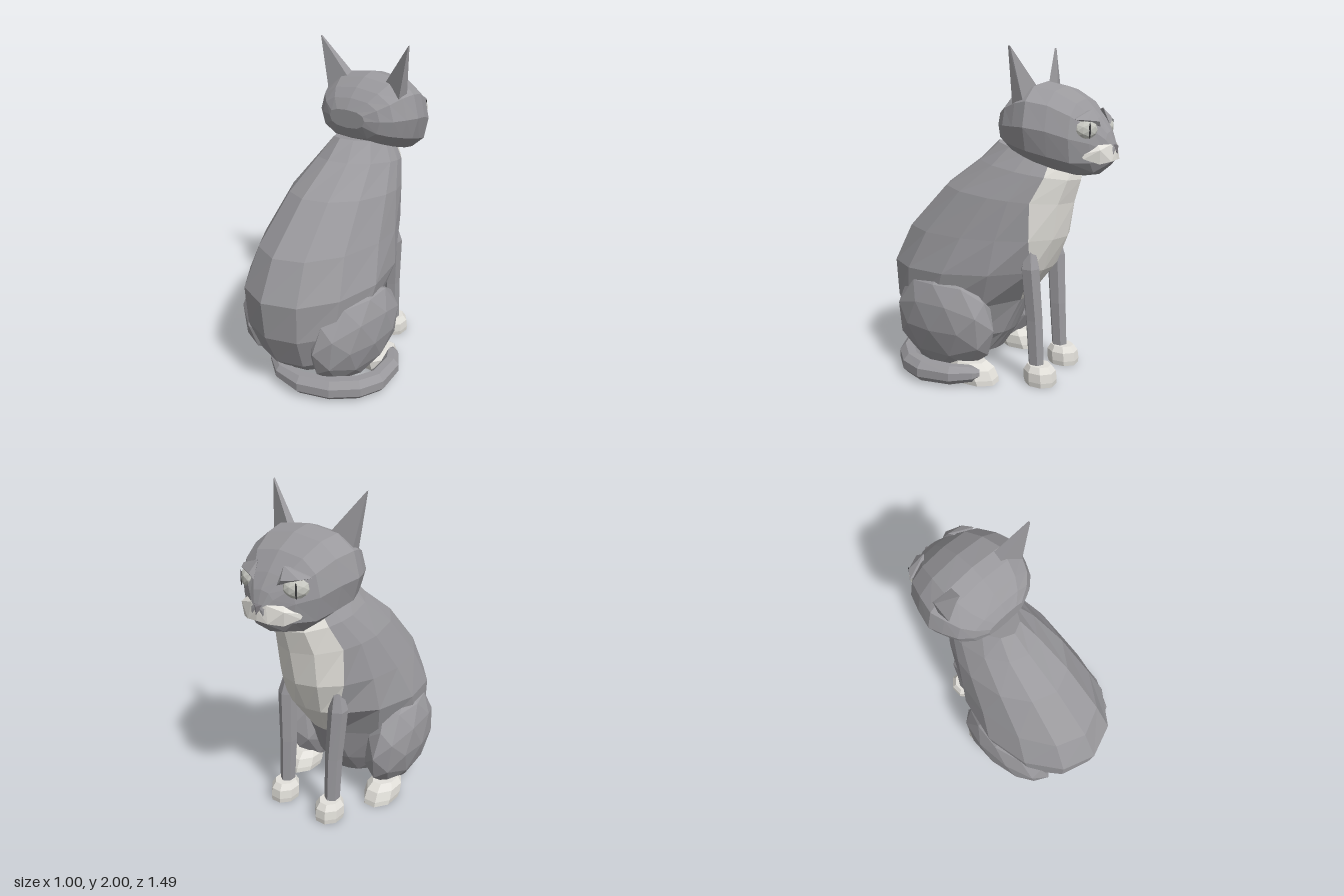
import * as THREE from 'three';
import { ConvexGeometry } from 'three/addons/geometries/ConvexGeometry.js';

const mat = (name, color) => Object.assign(new THREE.MeshStandardMaterial({ color, flatShading: true }), { name });
const fur = mat('grey fur', 0x9a999d);
const pale = mat('pale fur', 0xe3e1db);
const iris = mat('eye', 0xc6c7c0);
const dark = mat('pupil', 0x3a3a3c);
const noseMat = mat('nose', 0x7d7a7f);
const V = (x, y, z) => new THREE.Vector3(x, y, z);

// Skin a row of rings, cap both ends, and sort the faces into groups by material index
function loft(rings, pick = () => 0) {
  const faces = [[], []];
  const n = rings[0].length;
  for (let i = 0; i < rings.length - 1; i++) {
    for (let j = 0; j < n; j++) {
      const k = (j + 1) % n, a = rings[i], b = rings[i + 1];
      faces[pick(i, j)].push([a[j], a[k], b[k]], [a[j], b[k], b[j]]);
    }
  }
  const first = rings[0], last = rings[rings.length - 1];
  for (let j = 1; j < n - 1; j++) {
    faces[0].push([first[0], first[j + 1], first[j]], [last[0], last[j], last[j + 1]]);
  }
  // turn every face outward if the enclosed volume is negative
  let volume = 0;
  faces.flat().forEach(([a, b, c]) => { volume += a.dot(b.clone().cross(c)); });
  if (volume < 0) faces.flat().forEach((f) => f.reverse());
  const g = new THREE.BufferGeometry().setFromPoints(faces.flat(2));
  g.addGroup(0, faces[0].length * 3, 0);
  g.addGroup(faces[0].length * 3, faces[1].length * 3, 1);
  g.computeVertexNormals();
  return g;
}

const ring = (n, f) => Array.from({ length: n }, (_, j) => f((j / n) * Math.PI * 2));

export function createModel() {
  const model = new THREE.Group();
  model.name = 'sittingCat';
  const cat = new THREE.Group();
  cat.name = 'cat';
  cat.position.x = -0.045;
  model.add(cat);

  const add = (name, geometry, material, parent = cat) => {
    const m = new THREE.Mesh(geometry, material);
    m.name = name;
    parent.add(m);
    return m;
  };
  const blob = (name, material, pos, size, parent = cat) => {
    const m = add(name, new THREE.IcosahedronGeometry(1, 1), material, parent);
    m.position.set(...pos);
    m.scale.set(...size);
    return m;
  };

  // Body sections: back height, back z, front height, front z, half width, angle where the chest patch starts
  const bodyRings = [
    [0.11, 0.53, 0.11, -0.01, 0.24, 150],
    [0.2, 0.63, 0.25, -0.1, 0.33, 160],
    [0.41, 0.72, 0.47, -0.19, 0.385, 168],
    [0.65, 0.74, 0.69, -0.36, 0.41, 152],
    [0.89, 0.63, 0.89, -0.45, 0.355, 137],
    [1.17, 0.365, 1.1, -0.49, 0.295, 125],
    [1.34, 0.127, 1.24, -0.53, 0.225, 122],
    [1.45, 0.01, 1.34, -0.52, 0.15, 120],
  ].map(([yb, zb, yf, zf, w, chest]) => {
    const half = [30, 60, 90, (90 + chest) / 2, chest, (chest + 180) / 2];
    const angles = [0, ...half, 180, ...half.map((a) => 360 - a).reverse()];
    return angles.map((deg) => {
      const t = THREE.MathUtils.degToRad(deg), k = (1 + Math.cos(t)) / 2;
      return V(Math.sin(t) * w, yf + (yb - yf) * k, zf + (zb - zf) * k);
    });
  });
  add('body', loft(bodyRings, (i, j) => (i >= 2 && j >= 5 && j <= 8 ? 1 : 0)), [fur, pale]);

  // Head sections: z, top, bottom, half width, height of widest point
  const soft = (v) => Math.sign(v) * Math.abs(v) ** 0.8;
  const headRings = [
    [-0.055, 1.61, 1.5, 0.13, 1.56],
    [-0.095, 1.675, 1.43, 0.215, 1.56],
    [-0.15, 1.73, 1.395, 0.275, 1.56],
    [-0.23, 1.78, 1.36, 0.315, 1.56],
    [-0.31, 1.805, 1.33, 0.345, 1.56],
    [-0.43, 1.78, 1.29, 0.315, 1.54],
    [-0.55, 1.71, 1.265, 0.272, 1.5],
    [-0.64, 1.61, 1.28, 0.18, 1.47],
    [-0.7, 1.53, 1.33, 0.09, 1.43],
    [-0.735, 1.44, 1.37, 0.04, 1.41],
  ].map(([z, top, bottom, w, mid]) => ring(12, (t) => {
    const c = soft(Math.cos(t));
    return V(soft(Math.sin(t)) * w, mid + c * (c > 0 ? top - mid : mid - bottom), z);
  }));
  add('head', loft(headRings), fur);
  add('nose', new ConvexGeometry([
    V(-0.035, 1.46, -0.72), V(0.035, 1.46, -0.72), V(0, 1.405, -0.748), V(0, 1.45, -0.748), V(0, 1.43, -0.69),
  ]), noseMat);

  for (const s of [-1, 1]) {
    const side = s > 0 ? 'right' : 'left';
    const p = (x, y, z) => V(s * x, y, z);

    // Ear, a thin tall wedge
    add(side + 'Ear', new ConvexGeometry([
      p(0.322, 2.0, -0.21), p(0.322, 2.0, -0.222), p(0.265, 1.67, -0.21), p(0.135, 1.75, -0.25), p(0.135, 1.76, -0.315), p(0.275, 1.68, -0.285),
    ]), fur);

    // Eye with a slit pupil, under a brow ledge that peaks at the inner corner
    const eye = new THREE.Group();
    eye.name = side + 'Eye';
    eye.position.set(s * 0.16, 1.545, -0.605);
    eye.rotation.y = Math.PI - s * 0.65;
    cat.add(eye);
    blob('eyeball', iris, [0, 0, 0], [0.076, 0.062, 0.056], eye);
    blob('pupil', dark, [0, 0, 0.053], [0.006, 0.045, 0.004], eye);
    add(side + 'Brow', new ConvexGeometry([
      p(0.08, 1.56, -0.668), p(0.09, 1.655, -0.62), p(0.24, 1.605, -0.575), p(0.2, 1.6, -0.632), p(0.11, 1.59, -0.672), p(0.15, 1.63, -0.55),
    ]), fur);

    // Pale cheek of the muzzle, running back from the nose
    add(side + 'Muzzle', new ConvexGeometry([
      p(0, 1.425, -0.738), p(0, 1.37, -0.742), p(0.05, 1.46, -0.724), p(0.07, 1.365, -0.735), p(0.15, 1.435, -0.695),
      p(0.14, 1.355, -0.69), p(0.195, 1.385, -0.615), p(0.2, 1.41, -0.6), p(0.1, 1.4, -0.58), p(0.115, 1.475, -0.66),
    ]), pale);

    // Front leg sections: height, z, x, half width, half depth
    const leg = [
      [0.1, -0.338, 0.18, 0.046, 0.05],
      [0.4, -0.32, 0.18, 0.053, 0.055],
      [0.72, -0.297, 0.195, 0.06, 0.06],
      [0.87, -0.29, 0.18, 0.03, 0.02],
    ].map(([y, z, x, rx, rz]) => ring(6, (t) => V(s * x + Math.sin(t) * rx, y, z + Math.cos(t) * rz)));
    add(side + 'FrontLeg', loft(leg), fur);

    // Paws, flat underneath: x, z, half width, half length, height, backward lean
    for (const [name, x, z, rx, rz, h, lean] of [
      ['FrontPaw', 0.18, -0.367, 0.085, 0.098, 0.12, 0.01],
      ['HindPaw', 0.32, 0.0, 0.1, 0.145, 0.125, 0.05],
    ]) {
      const paw = [[0, 0.95], [0.25, 1], [0.7, 0.97], [1, 0.72]].map(([y, r]) => ring(8, (t) =>
        V(s * x + Math.sin(t + 0.39) * rx * r * 1.05, y * h, z + y * lean + Math.cos(t + 0.39) * rz * r * 1.05)));
      add(side + name, loft(paw), pale);
    }

    // Haunch
    blob(side + 'Haunch', fur, [s * 0.295, 0.335, 0.24], [0.165, 0.322, 0.365]).rotation.set(0, -s * 0.1, -s * 0.12);
  }

  // Tail curling round the right side: x, y, z, radius
  const tailPath = [
    [-0.15, 0.1, 0.5, 0.025], [-0.02, 0.085, 0.565, 0.052], [0.14, 0.075, 0.57, 0.064],
    [0.31, 0.072, 0.505, 0.066], [0.435, 0.072, 0.395, 0.066], [0.487, 0.072, 0.28, 0.065],
    [0.467, 0.072, 0.1, 0.06], [0.4, 0.072, -0.01, 0.048], [0.375, 0.072, -0.05, 0.025],
  ];
  const tailRings = tailPath.map(([x, y, z, r], i) => {
    const a = tailPath[Math.max(i - 1, 0)], b = tailPath[Math.min(i + 1, tailPath.length - 1)];
    const out = V(b[2] - a[2], 0, a[0] - b[0]).normalize();
    return ring(8, (t) => V(x, y, z).addScaledVector(out, Math.cos(t + 0.39) * r).add(V(0, Math.sin(t + 0.39) * r * 1.05, 0)));
  });
  add('tail', loft(tailRings), fur);

  return model;
}
